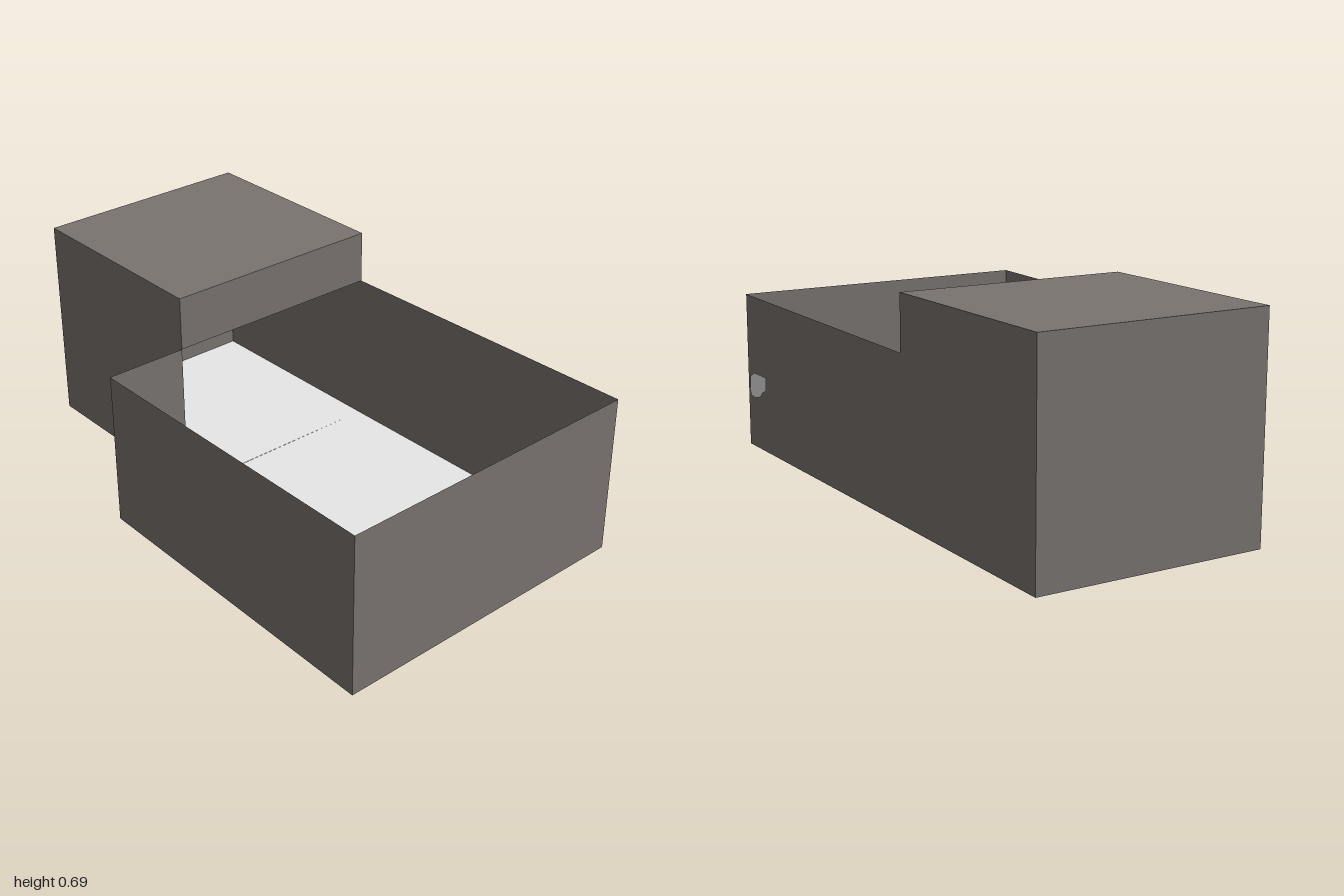
import * as THREE from 'three';

const wallMat = new THREE.MeshStandardMaterial({ color: 0x7a7471, side: THREE.DoubleSide });
wallMat.name = 'warmGrey';
const lightMat = new THREE.MeshStandardMaterial({ color: 0xfcfcfc, side: THREE.DoubleSide });
lightMat.name = 'white';

// Plan corners [x, z]: tower A-B-C-D, open court D-C-G-F-E
const A = [-0.432, -1], B = [-0.932, -0.44], C = [-0.408, 0.035], D = [0.102, -0.525];
const E = [0.932, 0.21], F = [0.232, 1], G = [-0.59, 0.238];
const TOWER = 0.692, LOW = 0.516, HIGH = 0.53;

// Flat convex panel, fanned from its first corner
function panel(name, corners, material) {
  const pos = [];
  for (let i = 1; i < corners.length - 1; i++) {
    pos.push(...corners[0], ...corners[i], ...corners[i + 1]);
  }
  const geo = new THREE.BufferGeometry();
  geo.setAttribute('position', new THREE.Float32BufferAttribute(pos, 3));
  geo.computeVertexNormals();
  const mesh = new THREE.Mesh(geo, material);
  mesh.name = name;
  return mesh;
}

const at = ([x, z], y) => [x, y, z];
const level = (points, y) => points.map((p) => at(p, y));

// Upright sheet from p to q, anticlockwise seen from outside
function wall(name, p, q, topP, topQ, base = 0) {
  return panel(name, [at(p, base), at(q, base), at(q, topQ), at(p, topP)], wallMat);
}

export function createModel() {
  const model = new THREE.Group();
  model.name = 'building';

  // Tower shell, open to the court below the lintel
  const tower = new THREE.Group();
  tower.name = 'tower';
  tower.add(
    wall('towerBackWall', A, B, TOWER, TOWER),
    wall('towerLeftWall', B, C, TOWER, TOWER),
    wall('towerRightWall', D, A, TOWER, TOWER),
    wall('towerLintel', C, D, TOWER, TOWER, LOW),
    panel('towerRoof', level([A, B, C, D], TOWER), wallMat)
  );

  // Roofless court with a gently sloping wall top
  const court = new THREE.Group();
  court.name = 'court';
  court.add(
    wall('courtReturnWall', C, G, LOW, LOW),
    wall('courtLeftWall', G, F, LOW, HIGH),
    wall('courtFrontWall', F, E, HIGH, HIGH),
    wall('courtRightWall', E, D, HIGH, LOW)
  );

  // Floors
  model.add(
    tower, court,
    panel('towerFloor', level([A, B, C, D], 0), lightMat),
    panel('courtFloor', level([D, G, F, E], 0), lightMat)
  );

  // Small irregular pale patch on the right wall, given as [z, y]
  const outline = [
    [0.198, 0.2], [0.192, 0.18], [0.17, 0.177], [0.138, 0.188], [0.128, 0.205],
    [0.107, 0.218], [0.106, 0.264], [0.17, 0.264], [0.192, 0.248]
  ];
  const slope = (E[0] - D[0]) / (E[1] - D[1]);
  const patch = outline.map(([z, y]) => [E[0] + (z - E[1]) * slope + 0.003, y, z - 0.003]);
  model.add(panel('wallPatch', patch, lightMat));

  return model;
}
